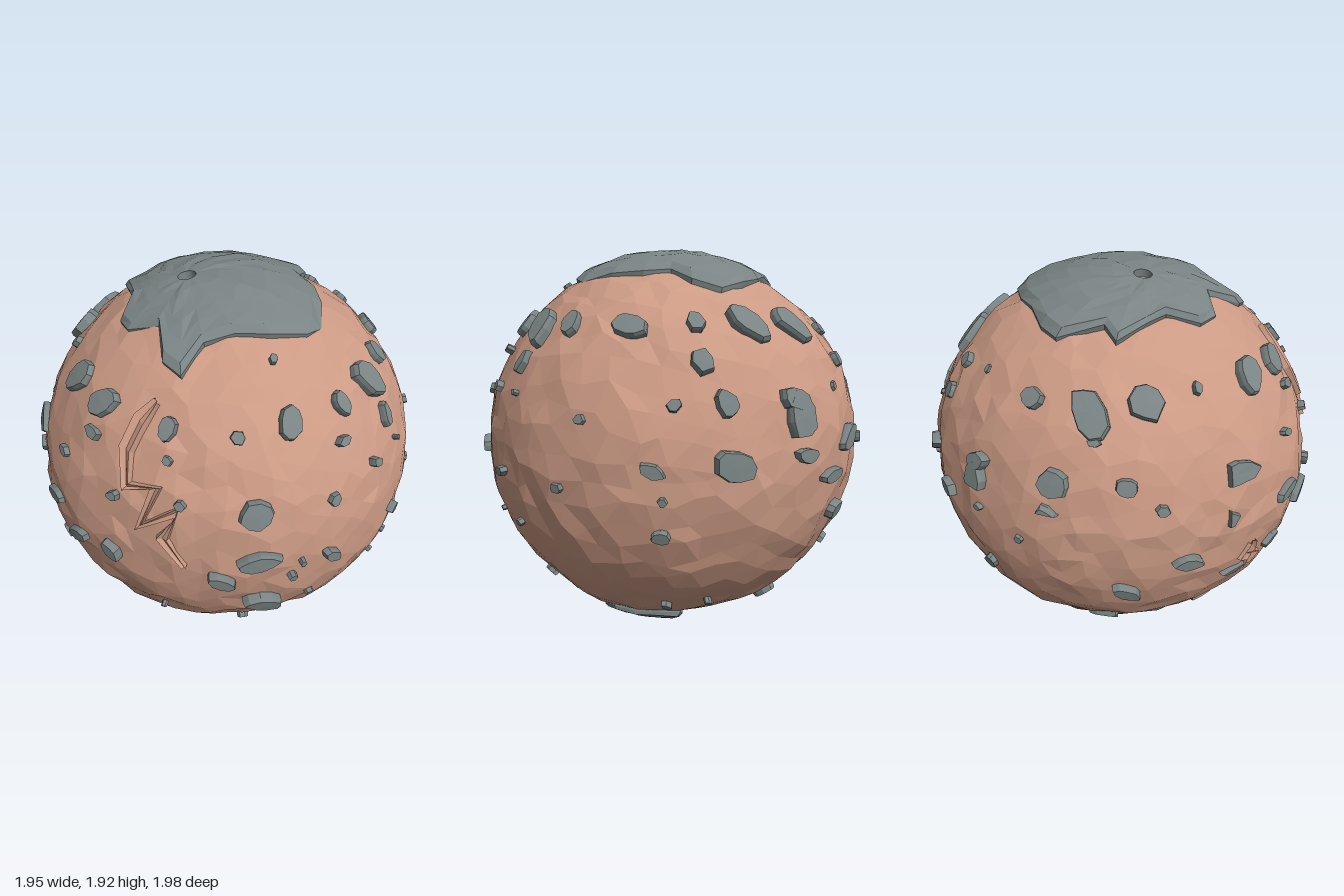
import * as THREE from 'three';
import { mergeVertices } from 'three/addons/utils/BufferGeometryUtils.js';

const R = 0.94;                                  // mean radius of the rock ball
const CENTRE = new THREE.Vector3(0, 0.95, 0);
const STRETCH = new THREE.Vector3(1.01, 0.99, 1.02);

let seed = 7;
const rand = () => {
  seed = (seed * 16807) % 2147483647;
  return seed / 2147483647;
};
const jitter = (a) => (rand() * 2 - 1) * a;

// A direction to look from, with its right and up axes
function frame(azimuth, elevation) {
  const a = THREE.MathUtils.degToRad(azimuth), e = THREE.MathUtils.degToRad(elevation);
  const dir = new THREE.Vector3(Math.sin(a) * Math.cos(e), Math.sin(e), Math.cos(a) * Math.cos(e));
  const right = new THREE.Vector3(Math.cos(a), 0, -Math.sin(a));
  return { dir, right, up: dir.clone().cross(right) };
}

// Puts flat coordinates u, v of a frame onto the ball, at a height over it
function onBall(f, u, v, height) {
  const len = Math.hypot(u, v), k = len > 0.985 * R ? 0.985 * R / len : 1;
  u *= k; v *= k;
  const p = new THREE.Vector3()
    .addScaledVector(f.right, u).addScaledVector(f.up, v)
    .addScaledVector(f.dir, Math.sqrt(R * R - u * u - v * v))
    .setLength(R + height).multiply(STRETCH).add(CENTRE);
  p.y = Math.max(p.y, 0);
  return p;
}

// Flat-shaded surface through rows of points
function facetted(rows, closed) {
  const pos = [], n = rows[0].length;
  const tri = (...pts) => pts.forEach((p) => pos.push(p.x, p.y, p.z));
  for (let r = 0; r + 1 < rows.length; r++) {
    for (let i = 0; i < (closed ? n : n - 1); i++) {
      const j = (i + 1) % n, a = rows[r], b = rows[r + 1];
      tri(a[i], a[j], b[j]);
      tri(a[i], b[j], b[i]);
    }
  }
  const g = new THREE.BufferGeometry();
  g.setAttribute('position', new THREE.Float32BufferAttribute(pos, 3));
  g.computeVertexNormals();
  return g;
}

// Raised slab on the ball: steep rim, then rings shrinking to the middle
function slab(f, outline, middle, thick, rings, hole = 0, rough = 0) {
  const ring = (s, h, r) => outline.map(([u, v]) => {
    const du = u - middle[0], dv = v - middle[1], len = Math.hypot(du, dv) || 1;
    const q = s + (1 - s) * hole / len;
    return onBall(f, middle[0] + du * q, middle[1] + dv * q, h + jitter(r));
  });
  const rows = [ring(1, -0.03, 0), ring(0.97, thick * 0.5, rough)];
  for (let i = 0; i <= rings; i++) rows.push(ring(0.88 * (1 - i / rings), thick, i < rings ? rough : 0));
  if (hole) rows.push(ring(0, -0.04, 0));
  return facetted(rows, true);
}

// Irregular oval outline
function oval(u, v, w, h, degrees, sides) {
  const t = THREE.MathUtils.degToRad(degrees), pts = [];
  for (let i = 0; i < sides; i++) {
    const a = (i + jitter(0.2)) / sides * Math.PI * 2, k = 1 + jitter(0.12);
    const x = Math.cos(a) * w / 2 * k, y = Math.sin(a) * h / 2 * k;
    pts.push([u + x * Math.cos(t) - y * Math.sin(t), v + x * Math.sin(t) + y * Math.cos(t)]);
  }
  return pts;
}

// Rough ball with irregular facets
function rockBall() {
  let g = new THREE.IcosahedronGeometry(R, 9);
  g.deleteAttribute('normal');
  g.deleteAttribute('uv');
  g = mergeVertices(g, 1e-4);
  const p = g.attributes.position, v = new THREE.Vector3();
  for (let i = 0; i < p.count; i++) {
    v.fromBufferAttribute(p, i);
    const swell = 0.006 * Math.sin(5 * v.x + 1) * Math.sin(4 * v.y) + 0.006 * Math.sin(6 * v.z + 2 * v.x);
    v.x += jitter(0.028); v.y += jitter(0.028); v.z += jitter(0.028);
    v.setLength(R + swell + jitter(0.009)).multiply(STRETCH).add(CENTRE);
    p.setXYZ(i, v.x, Math.max(v.y, 0.035), v.z);
  }
  g = g.toNonIndexed();
  g.computeVertexNormals();
  return g;
}

// Zigzag groove with raised lips
function crack(f, path, width) {
  const profile = [[-1, -0.015], [-0.75, 0.018], [0, 0.002], [0.75, 0.018], [1, -0.015]];
  const rows = path.map(([u, v], i) => {
    const a = path[Math.max(i - 1, 0)], b = path[Math.min(i + 1, path.length - 1)];
    const du = b[0] - a[0], dv = b[1] - a[1], len = Math.hypot(du, dv);
    const w = i === 0 || i === path.length - 1 ? width * 0.4 : width;
    return profile.map(([s, h]) => onBall(f, u + dv / len * s * w, v - du / len * s * w, h));
  });
  return facetted(rows.reverse(), false);
}

export function createModel() {
  const group = new THREE.Group();
  const clay = new THREE.MeshStandardMaterial({ color: 0xcb9a84, side: THREE.DoubleSide });
  clay.name = 'clay';
  const slate = new THREE.MeshStandardMaterial({ color: 0x7a8484 });
  slate.name = 'slate';
  const add = (name, geometry, material) => {
    const m = new THREE.Mesh(geometry, material);
    m.name = name;
    group.add(m);
  };

  const front = frame(0, 0), side = frame(90, 0), top = frame(0, 90), bottom = frame(0, -90);
  const backLeft = frame(217, 24), backRight = frame(141, -30);

  add('rockBall', rockBall(), clay);

  // Top plate with a small hole, outlined as x, z
  const topOutline = [[-.36, -.42], [-.25, -.46], [-.1, -.46], [.05, -.48], [.22, -.46], [.36, -.41],
    [.4, -.28], [.36, -.16], [.42, -.05], [.44, .1], [.43, .27], [.36, .34], [.2, .39], [.05, .41],
    [-.08, .45], [-.17, .57], [-.25, .5], [-.28, .33], [-.42, .29], [-.47, .2], [-.43, .05],
    [-.46, -.05], [-.5, -.2], [-.41, -.22]];
  add('topPlate', slab(top, topOutline.map(([x, z]) => [x, -z]).reverse(), [-.17, -.04], 0.034, 5, 0.04, 0.006), slate);

  // Plates around the underside
  const under = [[.02, .1], [0, .3], [-.08, .48], [-.25, .53], [-.42, .42], [-.55, .22], [-.56, 0],
    [-.52, -.22], [-.4, -.44], [-.29, -.48], [-.3, -.28], [-.24, -.12], [-.05, -.04]];
  add('bottomPlate', slab(bottom, under, [-.28, .1], 0.035, 4, 0, 0.006), slate);
  for (const [x, z, w, h, turn] of [[.27, .42, .32, .15, -33], [.47, -.07, .15, .44, 0]]) {
    add('lowerPlate', slab(bottom, oval(x, z, w, h, turn, 10), [x, z], 0.03, 2, 0, 0.004), slate);
  }

  // Stones: u, v, width, height, turn, as seen along each frame
  const pebbles = (name, f, list) => {
    for (const [u, v, w = 0.04, h = w, turn = 0] of list) {
      const outline = oval(u, v, w, h, turn, w > 0.07 ? 9 : 6);
      add(name, slab(f, outline, [u, v], Math.min(0.036, 0.014 + w * 0.18), 1), slate);
    }
  };
  pebbles('upperBackPebble', top, [
    [-.43, .82, .11, .06, 25], [-.03, .83, .09, .04], [-.03, .74, .09, .045],
    [.22, .67, .11, .2, 38], [.45, .79, .15, .08, -30], [.43, .54, .1, .19, 15], [-.49, .55, .1, .06, 40],
    [-.75, .59, .11, .08, 40], [-.66, .36, .19, .11, 28], [-.71, .14, .1, .15, -15], [-.22, .68, .03],
    [.58, .37, .07, .08], [.67, .44, .06, .1, 20], [.69, .12, .08, .17]]);
  pebbles('upperFrontPebble', top, [
    [-.7, -.08, .04], [-.63, -.35, .14, .1, -35], [-.5, -.53, .15, .08, -30],
    [-.22, -.7, .08, .07], [.06, -.74, .06, .04], [.27, -.67, .09, .11, -25],
    [.49, -.53, .08, .07], [.62, -.35, .16, .11, 20], [.72, -.4, .05, .07], [.68, -.16, .1, .09, 40], [.2, -.48, .04]]);
  pebbles('frontPebble', front, [
    [-.55, .48, .07, .05], [-.22, .48], [.5, .48, .06, .04], [-.88, .28, .08, .12, -15], [-.71, .32, .04],
    [-.46, .28, .06, .04, 30], [-.17, .32, .05], [.14, .29, .15, .14], [.47, .27, .05, .06], [-.93, .08, .04, .1],
    [-.78, .05, .1, .06, 30], [-.66, -.06, .12, .07, 42], [-.49, -.02, .11, .06, -50], [.15, .05, .2, .09, 8],
    [0, -.06, .15, .07, -25], [.35, -.01, .03, .04], [.31, -.09], [.48, -.02, .1, .06, -50], [.19, -.27, .2, .11, -25],
    [.4, -.29], [-.77, -.24, .06, .07], [-.86, -.29, .04], [-.28, -.42, .03], [.1, -.66, .06, .04],
    [.51, -.66, .04], [-.62, -.68, .05]]);
  pebbles('sidePebble', side, [
    [-.58, .32, .05], [-.4, .32, .03], [.37, .32, .06], [0, .25, .05], [.31, .06, .11, .06, -28],
    [-.48, -.05, .07, .05], [-.1, -.05, .06, .05], [.35, -.07], [.33, -.23, .08, .06], [-.39, -.29, .04],
    [-.55, -.27, .03], [-.45, -.66, .04], [.25, -.67, .05], [.42, -.66, .03]]);
  pebbles('backLeftPebble', backLeft, [
    [-.14, -.1, .11, .08, 15], [.24, -.08, .13, .13], [.36, .13, .06, .04], [.51, -.02, .08, .08],
    [.64, -.09, .05], [.73, -.33, .1, .05, 30], [-.13, -.32, .05, .03], [-.38, -.32, .11, .06, -30],
    [-.13, -.62, .09, .07, 20], [.52, -.54, .1, .07], [.1, -.39]]);
  pebbles('backRightPebble', backRight, [
    [-.18, .52, .17, .12], [-.19, .71, .09, .08], [.13, .71, .16, .07, -18], [.16, .53, .13, .06, -12],
    [.49, .48, .16, .08], [.34, .4, .14, .06, -8], [.42, .68, .03], [.43, .19, .1, .08],
    [.56, -.14, .06], [.28, -.42, .13, .08, 55], [.61, -.67, .05]]);

  // Zigzag cracks
  add('frontCrack', crack(front, [[-.27, .66], [-.34, .59], [-.4, .48], [-.4, .34], [-.27, .37], [-.35, .18],
    [-.18, .29], [-.25, .15], [-.16, .01]], 0.03), clay);
  add('sideCrack', crack(front, [[-.87, -.14], [-.86, -.22], [-.83, -.26], [-.82, -.32]], 0.02), clay);

  return group;
}
